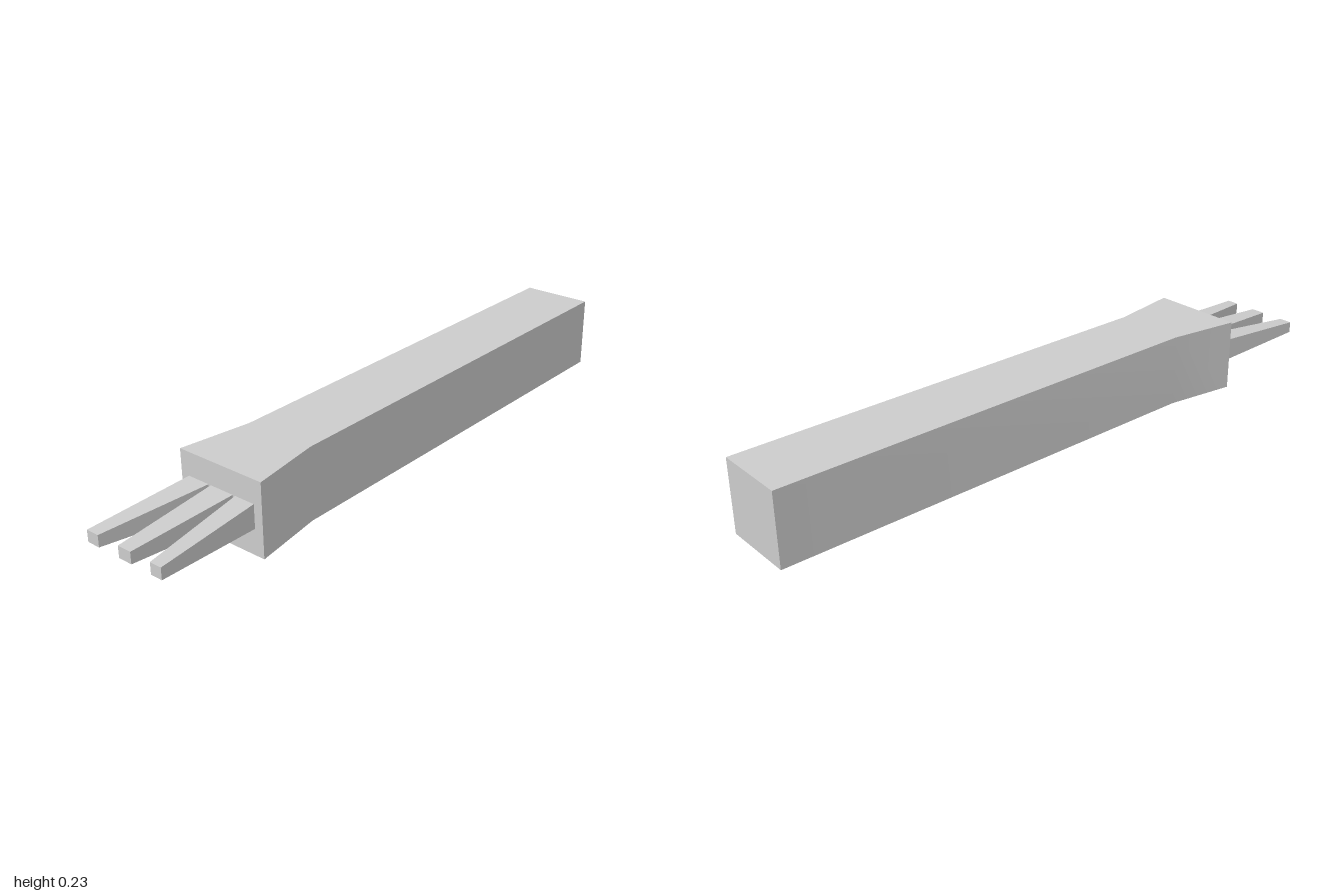
import * as THREE from 'three';
import { toCreasedNormals } from 'three/addons/utils/BufferGeometryUtils.js';

const FRONT = 0.667; // z of the flared front face
const HEIGHT = 0.23;

const material = new THREE.MeshStandardMaterial({ color: 0xcccccc });

// Square bar, flared sideways towards the front
function makeBody() {
  const half = [[0.115, -1], [0.115, 0.44], [0.15, FRONT]];
  const outline = [...half, ...half.map(([x, z]) => [-x, z]).reverse()];
  const shape = new THREE.Shape(outline.map(([x, z]) => new THREE.Vector2(x, -z)));
  const geometry = new THREE.ExtrudeGeometry(shape, { depth: HEIGHT, bevelEnabled: false });
  geometry.rotateX(-Math.PI / 2);
  const mesh = new THREE.Mesh(toCreasedNormals(geometry, Math.PI / 9), material);
  mesh.name = 'handle';
  return mesh;
}

// Tapered prong running from a base span to a tip span in x
function makeProng(name, base, tip) {
  const geometry = new THREE.BoxGeometry(1, 1, 1).toNonIndexed();
  const p = geometry.attributes.position;
  for (let i = 0; i < p.count; i++) {
    const atTip = p.getZ(i) > 0;
    const [x0, x1] = atTip ? tip : base;
    const halfHeight = atTip ? 0.018 : 0.037;
    p.setXYZ(i,
      p.getX(i) > 0 ? x1 : x0,
      0.119 + Math.sign(p.getY(i)) * halfHeight,
      atTip ? 1 : FRONT);
  }
  geometry.computeVertexNormals();
  const mesh = new THREE.Mesh(geometry, material);
  mesh.name = name;
  return mesh;
}

export function createModel() {
  const group = new THREE.Group();
  group.name = 'prongedBar';
  group.add(
    makeBody(),
    makeProng('rightProng', [-0.122, -0.047], [-0.138, -0.096]),
    makeProng('middleProng', [-0.038, 0.044], [-0.019, 0.027]),
    makeProng('leftProng', [0.053, 0.121], [0.099, 0.138]),
  );
  return group;
}
